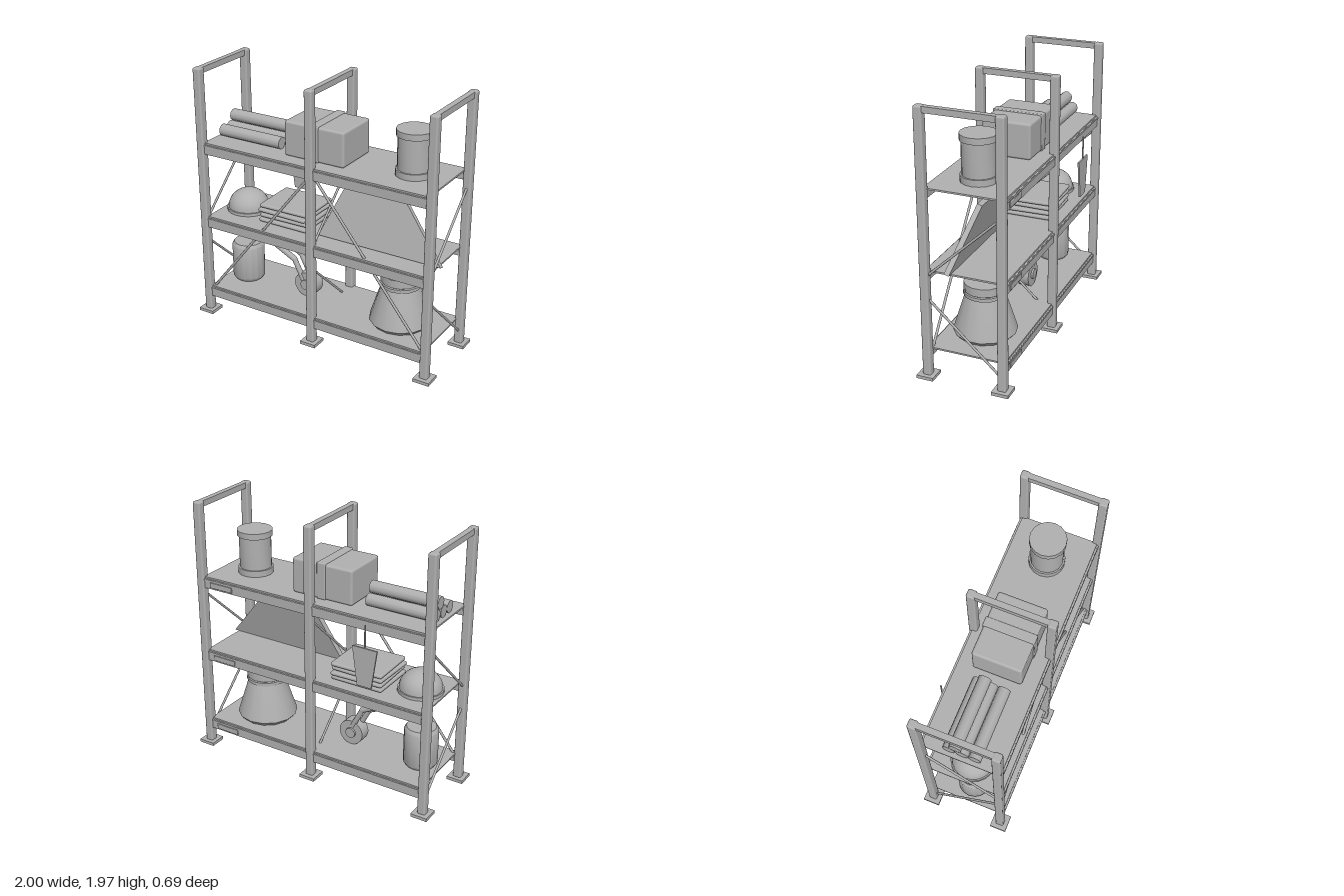
import * as THREE from 'three';
import { toCreasedNormals } from 'three/addons/utils/BufferGeometryUtils.js';
import { RoundedBoxGeometry } from 'three/addons/geometries/RoundedBoxGeometry.js';

const grey = new THREE.MeshStandardMaterial({ color: 0xb0b0b0 });
grey.name = 'shelf grey';

export function createModel() {
  const root = new THREE.Group();
  root.name = 'storageRack';

  const add = (name, geo, x = 0, y = 0, z = 0, parent = root) => {
    const m = new THREE.Mesh(geo, grey);
    m.name = name;
    m.position.set(x, y, z);
    parent.add(m);
    return m;
  };
  const box = (name, w, h, d, x, y, z, parent) =>
    add(name, new THREE.BoxGeometry(w, h, d), x, y, z, parent);
  const rounded = (name, w, h, d, r, x, y, z, parent) =>
    add(name, new RoundedBoxGeometry(w, h, d, 2, r), x, y, z, parent);
  const lathe = (name, profile, sides, x, y, z) => {
    const points = profile.map(([r, h]) => new THREE.Vector2(r, h));
    return add(name, toCreasedNormals(new THREE.LatheGeometry(points, sides), 0.6), x, y, z);
  };
  // Round bar between two points
  const bar = (name, a, b, r, sides = 8, parent = root) => {
    const from = new THREE.Vector3(...a), dir = new THREE.Vector3(...b).sub(from);
    const m = add(name, new THREE.CylinderGeometry(r, r, dir.length(), sides), 0, 0, 0, parent);
    m.position.copy(from).addScaledVector(dir, 0.5);
    m.quaternion.setFromUnitVectors(new THREE.Vector3(0, 1, 0), dir.normalize());
    return m;
  };

  // Upright frames: posts, feet, top rail and diagonal end braces
  for (const x of [-0.935, 0, 0.935]) {
    const frame = new THREE.Group();
    frame.name = 'uprightFrame';
    root.add(frame);
    for (const z of [-0.28, 0.28]) {
      rounded('post', 0.062, 1.95, 0.062, 0.013, x, 0.99, z, frame);
      box('foot', 0.125, 0.024, 0.125, x, 0.012, z, frame);
    }
    box('topRail', 0.042, 0.043, 0.52, x, 1.941, 0, frame);
    bar('lowerEndBrace', [x, 0.6, 0.255], [x, 0.125, -0.255], 0.009, 8, frame);
    bar('upperEndBrace', [x, 0.785, 0.255], [x, 1.26, -0.255], 0.009, 8, frame);
  }

  // Shelves with beams and small label plates at the back
  for (const top of [0.22, 0.81, 1.4]) {
    const shelf = new THREE.Group();
    shelf.name = 'shelf';
    root.add(shelf);
    box('deck', 1.83, 0.012, 0.57, 0, top - 0.006, 0, shelf);
    for (const s of [-1, 1]) {
      box('beam', 1.83, 0.073, 0.025, 0, top - 0.0485, s * 0.2825, shelf);
      box('beamLip', 1.83, 0.013, 0.034, 0, top - 0.0205, s * 0.2825, shelf);
    }
    rounded('labelPlate', 0.195, 0.042, 0.009, 0.004, 0.753, top - 0.052, -0.3, shelf);
  }

  // Front braces
  for (const s of [-1, 1])
    bar('frontBrace', [s * 0.91, 0.195, 0.258], [s * 0.025, 1.315, 0.258], 0.01);

  // Tubes on the top shelf, three below and one resting between two
  for (const [y, z] of [[1.446, -0.094], [1.446, 0], [1.446, 0.091], [1.524, -0.047]])
    bar('tube', [-0.885, y, z], [-0.36, y, z], 0.0455, 10);

  // Strapped crate
  rounded('crate', 0.486, 0.262, 0.36, 0.018, -0.036, 1.531, 0);
  rounded('crateStrap', 0.07, 0.27, 0.374, 0.008, -0.032, 1.535, 0);

  // Flanged canister
  lathe('canister', [[0, 0], [0.13, 0], [0.13, 0.046], [0.118, 0.046], [0.118, 0.285],
    [0.13, 0.285], [0.13, 0.33], [0, 0.33]], 16, 0.655, 1.4, 0);

  // Domed helmet with brim
  const dome = [[0, 0], [0.165, 0], [0.165, 0.024], [0.155, 0.024]];
  for (let i = 1; i <= 8; i++) {
    const a = (i / 8) * Math.PI / 2;
    dome.push([i === 8 ? 0 : 0.155 * Math.cos(a), 0.024 + 0.138 * Math.sin(a)]);
  }
  lathe('dome', dome, 20, -0.738, 0.81, 0);

  // Stack of folded sheets
  [[-0.33, -0.02, 0], [-0.326, -0.03, 0.03], [-0.336, -0.022, -0.02], [-0.33, -0.032, 0.02]]
    .forEach(([x, z, turn], i) => {
      const sheet = rounded('foldedSheet', 0.41, 0.03, 0.365, 0.014, x, 0.828 + i * 0.037, z);
      sheet.rotation.y = turn;
    });

  // Leaning panel with sloped ends
  const panel = new THREE.Shape([[-0.03, 0], [0.95, 0], [0.615, 0.4], [0.14, 0.4]]
    .map(([x, y]) => new THREE.Vector2(x, y)));
  const leaning = add('leaningPanel',
    new THREE.ExtrudeGeometry(panel, { depth: 0.038, bevelEnabled: false }), 0, 0.81, 0.097);
  leaning.rotation.x = -0.245;

  // Tapered tag hanging on a cord behind the rack
  const tag = new THREE.Shape([[-0.056, 0.91], [0.056, 0.91], [0.097, 1.2], [-0.097, 1.2]]
    .map(([x, y]) => new THREE.Vector2(x, y)));
  add('hangingTag', new THREE.ExtrudeGeometry(tag, { depth: 0.012, bevelEnabled: false }),
    -0.475, 0, -0.335);
  bar('tagCord', [-0.475, 1.19, -0.329], [-0.475, 1.37, -0.329], 0.006);

  // Drum with chamfered rims
  lathe('drum', [[0, 0], [0.108, 0], [0.125, 0.025], [0.125, 0.285], [0.108, 0.31], [0, 0.31]],
    16, -0.758, 0.22, 0);

  // Flared vessel with collar
  lathe('flaredVessel', [[0, 0], [0.195, 0], [0.228, 0.035], [0.222, 0.06], [0.143, 0.31],
    [0.153, 0.315], [0.153, 0.34], [0.143, 0.345], [0.15, 0.35], [0.15, 0.41], [0, 0.41]],
    14, 0.585, 0.22, 0);

  // Wheel with hub and two bent arms
  bar('wheel', [-0.2, 0.318, -0.045], [-0.2, 0.318, 0.045], 0.097, 20);
  bar('wheelHub', [-0.2, 0.318, -0.06], [-0.2, 0.318, 0.06], 0.04, 14);
  for (const [z, dx, dy] of [[0.032, -0.008, -0.012], [-0.032, 0.012, 0.012]]) {
    const joints = [[-0.49, 0.61], [-0.3, 0.515], [-0.22, 0.36]]
      .map(([x, y]) => [x + dx, y + dy, z]);
    bar('upperArm', joints[0], joints[1], 0.022);
    bar('lowerArm', joints[1], joints[2], 0.02);
    add('armJoint', new THREE.SphereGeometry(0.022, 10, 6), ...joints[1]);
  }
  return root;
}
